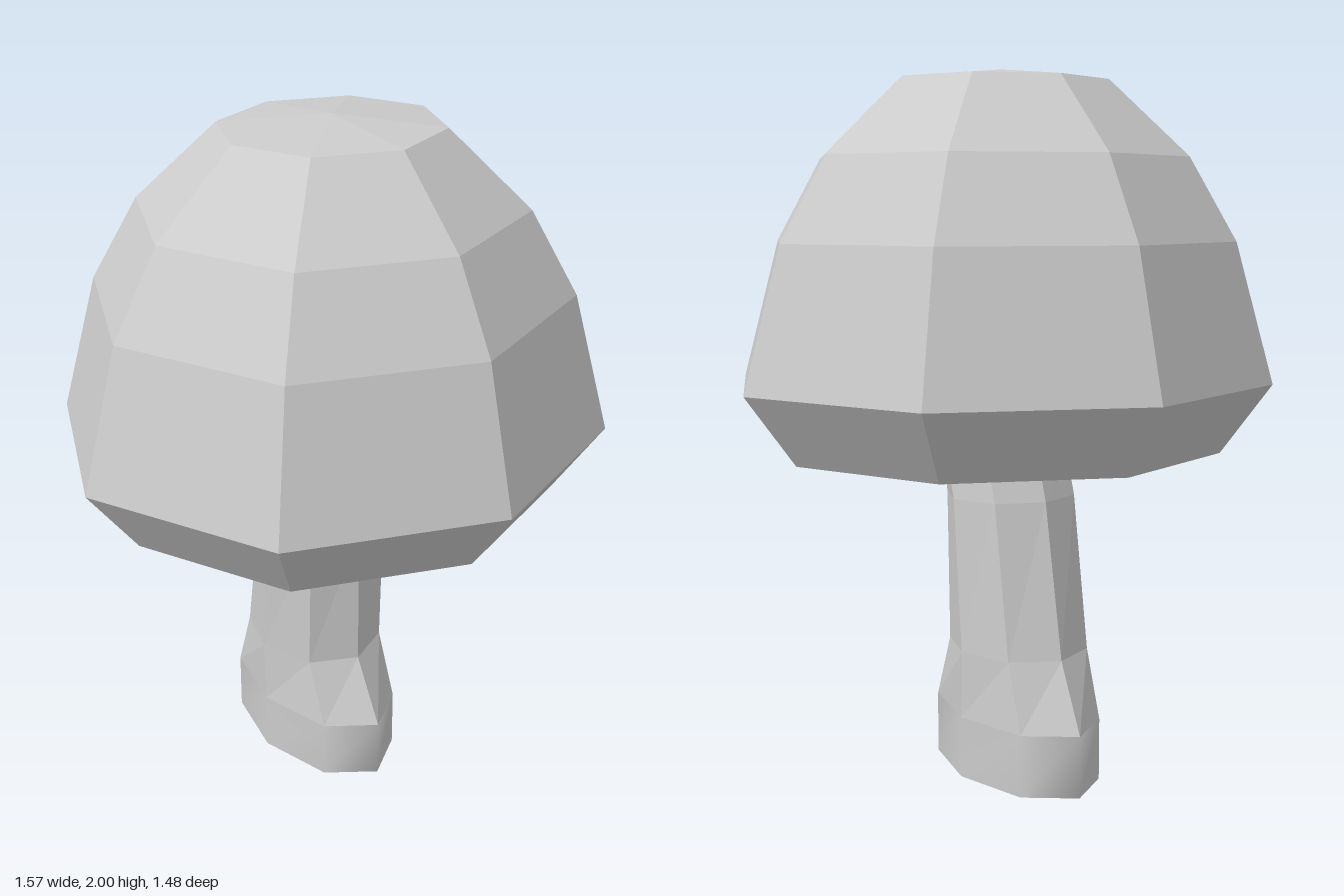
import * as THREE from 'three';

const SIDES = 8;

// Skins a stack of eight-sided elliptical rings [y, rx, rz, cz], ordered so that faces point outwards
function loft(name, rings, smooth = false) {
  const positions = [], index = [];
  for (const [y, rx, rz, cz = 0] of rings) {
    for (let j = 0; j < SIDES; j++) {
      const a = (j / SIDES) * Math.PI * 2;
      positions.push(Math.sin(a) * rx, y, cz + Math.cos(a) * rz);
    }
  }
  for (let i = 0; i < rings.length - 1; i++) {
    for (let j = 0; j < SIDES; j++) {
      const k = (j + 1) % SIDES;
      const a = i * SIDES + j, b = i * SIDES + k, c = b + SIDES, d = a + SIDES;
      if (rings[i][1] > 0) index.push(a, b, c);
      if (rings[i + 1][1] > 0) index.push(a, c, d);
    }
  }
  let geometry = new THREE.BufferGeometry();
  geometry.setAttribute('position', new THREE.Float32BufferAttribute(positions, 3));
  geometry.setIndex(index);
  if (!smooth) geometry = geometry.toNonIndexed();
  geometry.computeVertexNormals();
  const material = new THREE.MeshStandardMaterial({ color: 0xcccccc, flatShading: !smooth });
  const mesh = new THREE.Mesh(geometry, material);
  mesh.name = name;
  return mesh;
}

export function createModel() {
  const group = new THREE.Group();
  group.name = 'mushroom';

  // Cap: recess around the stem, flat underside, bevelled rim, dome; slightly narrower in depth
  const capProfile = [
    [0, 1.35], [0.33, 1.35], [0.33, 0.945], [0.64, 0.945], [0.785, 1.14],
    [0.675, 1.53], [0.54, 1.76], [0.31, 1.97], [0, 2],
  ];
  group.add(loft('cap', capProfile.map(([r, y]) => [y, r, r * 0.94])));

  // Stem: bends forward as it rises into the cap
  group.add(loft('stem', [
    [0.2, 0.187, 0.315, -0.085],
    [0.39, 0.187, 0.22, -0.09],
    [0.82, 0.187, 0.18, -0.05],
    [0.945, 0.187, 0.178, -0.012],
    [1.12, 0.187, 0.178, 0.04],
    [1.36, 0.187, 0.178, 0.06],
  ]));

  // Foot: smooth band with a shallow pointed sole
  group.add(loft('footBand', [
    [0.025, 0.187, 0.315, -0.085],
    [0.2, 0.187, 0.315, -0.085],
  ], true));
  group.add(loft('sole', [
    [0, 0, 0, -0.085],
    [0.025, 0.187, 0.315, -0.085],
  ]));

  return group;
}
